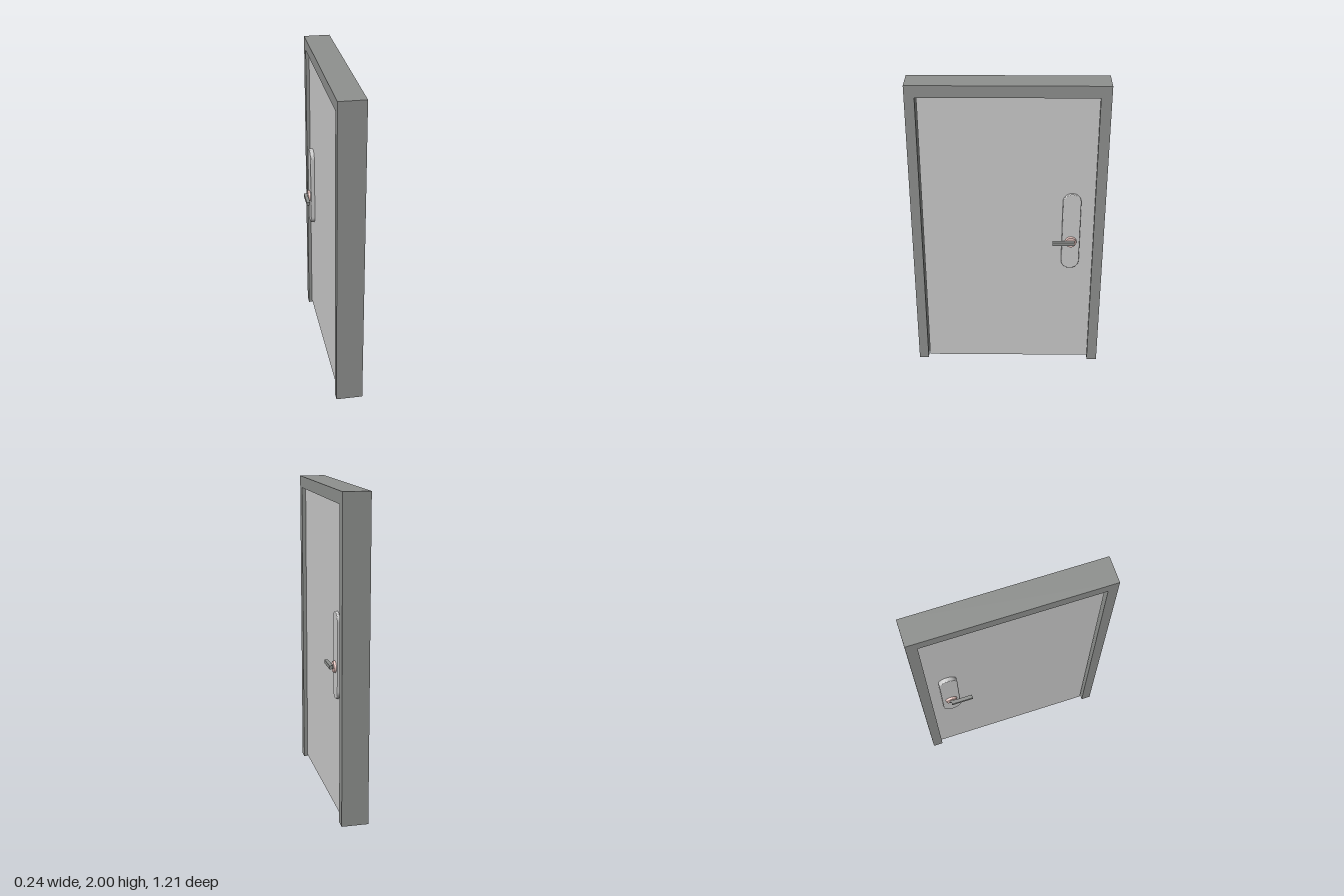
import * as THREE from 'three';

const paint = (color) => new THREE.MeshStandardMaterial({ color });

export function createModel() {
  const root = new THREE.Group();
  root.name = 'door';
  const frameMat = paint(0x8f918f);
  const leafMat = paint(0xcccccc);
  const roseMat = paint(0xe6c4be);

  const add = (parent, name, geometry, material) => {
    const mesh = new THREE.Mesh(geometry, material);
    mesh.name = name;
    parent.add(mesh);
    return mesh;
  };
  // Box given by its minimum and maximum corners
  const box = (parent, name, material, [x0, y0, z0], [x1, y1, z1]) => {
    const g = new THREE.BoxGeometry(x1 - x0, y1 - y0, z1 - z0);
    g.translate((x0 + x1) / 2, (y0 + y1) / 2, (z0 + z1) / 2);
    return add(parent, name, g, material);
  };

  // Frame: one U-shaped profile in z-y, extruded through the wall depth
  const x0 = -0.08, x1 = 0.086;
  const outline = [
    [-0.605, 0], [-0.54, 0], [-0.54, 1.925], [0.544, 1.925],
    [0.544, 0.008], [0.605, 0.008], [0.605, 2], [-0.605, 2],
  ].map(([z, y]) => new THREE.Vector2(-z, y));
  const frameGeo = new THREE.ExtrudeGeometry(new THREE.Shape(outline), { depth: x1 - x0, bevelEnabled: false });
  frameGeo.rotateY(Math.PI / 2);
  frameGeo.translate(x0, 0, 0);
  add(root, 'frame', frameGeo, frameMat);

  // Door leaf, slightly recessed on both faces
  box(root, 'leaf', leafMat, [-0.058, 0.02, -0.54], [0.063, 1.921, 0.535]);

  // Rounded backplate outline, pill shaped and centred on the spindle
  const r = 0.052, low = -0.195 + r, high = 0.335 - r;
  const pill = new THREE.Shape();
  pill.absarc(0, high, r, 0, Math.PI);
  pill.absarc(0, low, r, Math.PI, Math.PI * 2);
  pill.closePath();

  // Handle set, built facing +x with x = 0 on the outer face of the plate
  function handleSet(name) {
    const set = new THREE.Group();
    set.name = name;
    const plateGeo = new THREE.ExtrudeGeometry(pill, {
      depth: 0.022, bevelThickness: 0.005, bevelSize: 0.005, bevelSegments: 3, curveSegments: 16,
    });
    plateGeo.rotateY(Math.PI / 2);
    plateGeo.translate(-0.027, 0, 0);
    add(set, 'backplate', plateGeo, leafMat);

    const rose = new THREE.CylinderGeometry(0.034, 0.037, 0.014, 32);
    rose.rotateZ(-Math.PI / 2);
    rose.translate(0.007, 0, 0);
    add(set, 'rose', rose, roseMat);

    const neck = new THREE.CylinderGeometry(0.012, 0.015, 0.012, 20);
    neck.rotateZ(-Math.PI / 2);
    neck.translate(0.018, 0, 0);
    add(set, 'neck', neck, frameMat);
    return set;
  }

  // Both sides; the levers point the same way along z
  for (const [name, side, x, z] of [['leftHandle', 1, 0.079, -0.398], ['rightHandle', -1, -0.084, -0.415]]) {
    const set = handleSet(name);
    set.position.set(x, 0.945, z);
    if (side < 0) set.rotation.y = Math.PI;
    root.add(set);
    const a = x + side * 0.017, b = x + side * 0.039;
    box(root, name + 'Lever', frameMat, [Math.min(a, b), 0.937, -0.42], [Math.max(a, b), 0.959, -0.283]);
  }
  return root;
}
